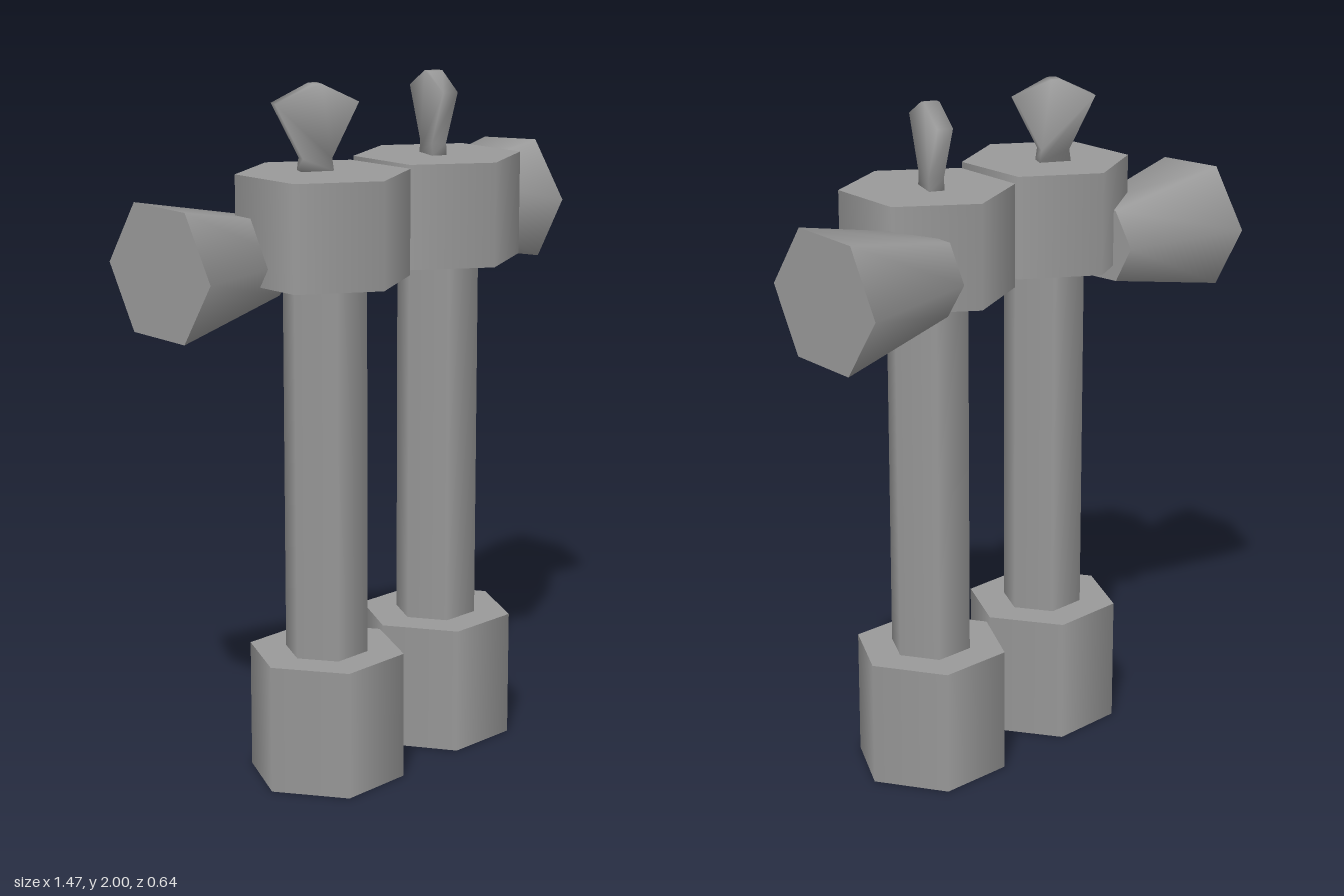
import * as THREE from 'three';
import { toCreasedNormals } from 'three/addons/utils/BufferGeometryUtils.js';

const material = new THREE.MeshStandardMaterial({ color: 0x999999, side: THREE.DoubleSide });

function part(name, geometry, x, y, z) {
  const mesh = new THREE.Mesh(geometry, material);
  mesh.name = name;
  mesh.position.set(x, y, z);
  return mesh;
}

// Upright six-sided prism from y0 to y1, turned about its axis
function hexPrism(name, radius, y0, y1, turn, x, z) {
  const geometry = new THREE.CylinderGeometry(radius, radius, y1 - y0, 6).rotateY(turn);
  return part(name, geometry, x, (y0 + y1) / 2, z);
}

// Hollow foot: six-sided walls open at the bottom, with a flat lid
function base(turn, x, z) {
  const radius = 0.228, height = 0.375;
  const walls = new THREE.CylinderGeometry(radius, radius, height, 6, 1, true).rotateY(turn);
  // The circle starts on +x, the cylinder on +z
  const lid = new THREE.CircleGeometry(radius, 6).rotateX(-Math.PI / 2).rotateY(turn + Math.PI / 6);
  const group = new THREE.Group();
  group.name = 'base';
  group.add(
    part('baseWalls', walls, x, height / 2, z),
    part('baseLid', lid, x, height, z),
  );
  return group;
}

// Six-sided cone widening outwards along x
function horn(side, tilt, y, z) {
  const geometry = new THREE.CylinderGeometry(0.207, 0.121, 0.39, 6)
    .rotateZ(-side * Math.PI / 2)
    .rotateX(tilt);
  return part('horn', geometry, side * 0.54, y, z);
}

// Flat key-shaped grip with a short neck, shaded smooth all round
function grip(turn, x, z) {
  const thickness = 0.045;
  const half = [[0.047, 0], [0.042, 0.035], [0.12, 0.188], [0.013, 0.24]];
  const mirrored = half.map(([px, py]) => [-px, py]).reverse();
  const outline = [...half, ...mirrored].map(([px, py]) => new THREE.Vector2(px, py));
  const plate = new THREE.ExtrudeGeometry(new THREE.Shape(outline), {
    depth: thickness, bevelEnabled: false,
  }).translate(0, 0, -thickness / 2);
  const geometry = toCreasedNormals(plate, Math.PI).rotateY(turn);
  return part('grip', geometry, x, 1.76, z);
}

function tower(name, t) {
  const group = new THREE.Group();
  group.name = name;
  group.add(
    base(t.postTurn, t.x, t.z),
    hexPrism('column', 0.121, 0.375, 1.46, t.postTurn, t.x, t.z),
    hexPrism('cap', 0.247, 1.46, 1.76, t.capTurn, t.x - 0.002, t.z - 0.002),
    horn(t.side, t.hornTilt, t.hornY, t.hornZ),
    grip(t.gripTurn, t.gripX, t.gripZ),
  );
  return group;
}

export function createModel() {
  const model = new THREE.Group();
  model.name = 'twinTowers';
  model.add(
    tower('rightTower', {
      side: -1, x: -0.259, z: 0.07, postTurn: Math.PI / 6 + 0.03, capTurn: -0.05,
      hornTilt: 0.03, hornY: 1.519, hornZ: -0.079,
      gripTurn: -0.486, gripX: -0.26, gripZ: 0.036,
    }),
    tower('leftTower', {
      side: 1, x: 0.226, z: 0.047, postTurn: Math.PI / 6, capTurn: -0.088,
      hornTilt: -0.05, hornY: 1.564, hornZ: -0.114,
      gripTurn: 1.166, gripX: 0.22, gripZ: 0.032,
    }),
  );
  return model;
}
